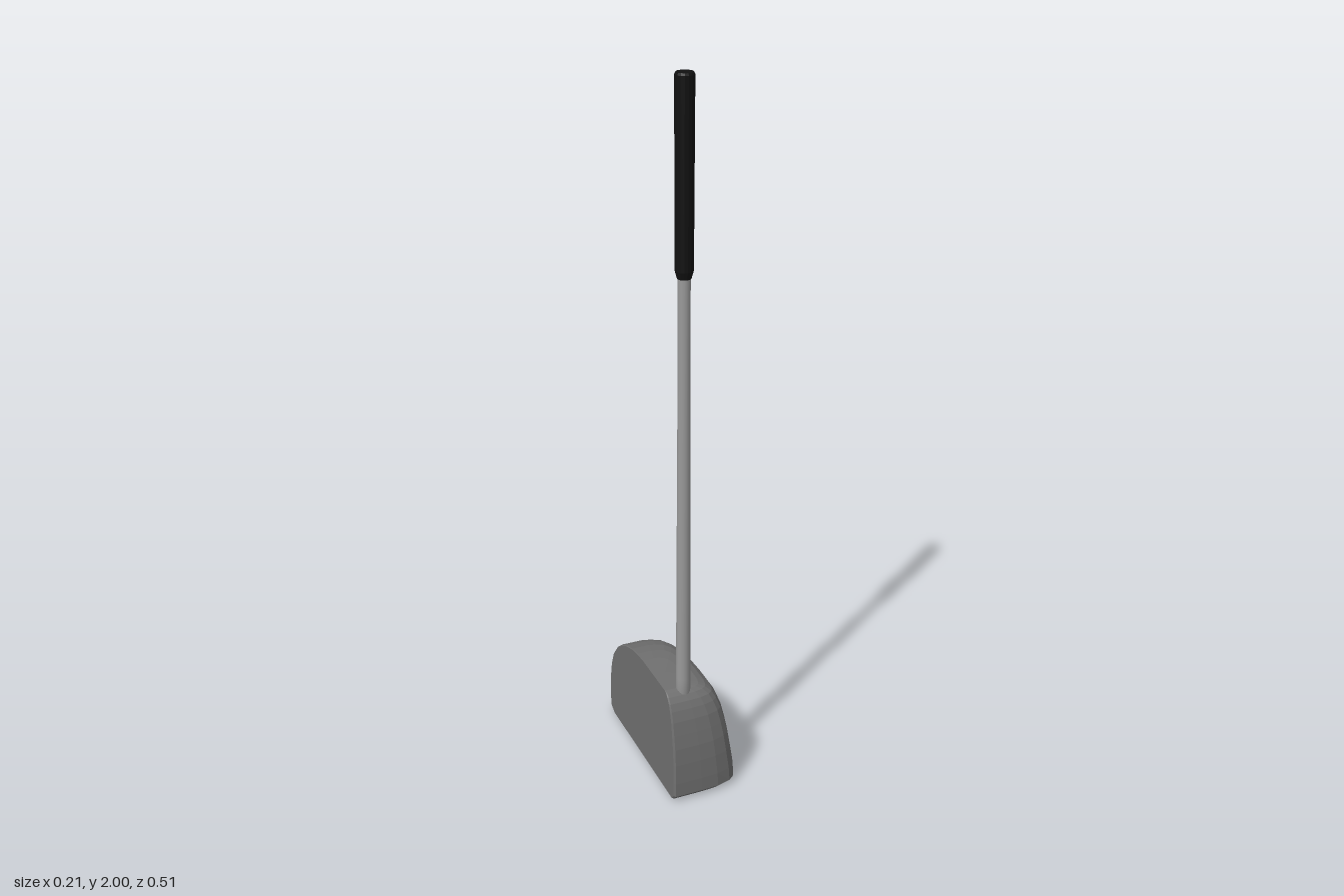
import * as THREE from 'three';

const FACE_X = -0.105; // plane of the flat striking face

// Footprint of the head from the rear of the face round to the front: [x, z]
const FOOTPRINT = [
  [-0.105, -0.247], [-0.1, -0.254], [-0.02, -0.254], [0.015, -0.245], [0.05, -0.225],
  [0.075, -0.185], [0.093, -0.12], [0.102, -0.03], [0.105, 0.06], [0.104, 0.16],
  [0.098, 0.2], [0.088, 0.222], [0.07, 0.237], [0.03, 0.248], [-0.02, 0.251],
  [-0.1, 0.252], [-0.105, 0.246],
];

// Height levels of the head: [y, greatest x, least z, greatest z]
const LEVELS = [
  [0.004, 0.093, -0.225, 0.238], [0.018, 0.104, -0.25, 0.251], [0.06, 0.1, -0.254, 0.252],
  [0.12, 0.09, -0.25, 0.251], [0.17, 0.082, -0.24, 0.247], [0.21, 0.074, -0.223, 0.241],
  [0.25, 0.064, -0.19, 0.234], [0.28, 0.052, -0.152, 0.225], [0.3, 0.04, -0.112, 0.216],
  [0.315, 0.022, -0.067, 0.205], [0.323, 0.002, -0.025, 0.196], [0.327, -0.025, 0.02, 0.184],
];

// Stack scaled footprints into a closed solid
function headGeometry() {
  const pos = [], index = [], n = FOOTPRINT.length;
  for (const [y, xMax, zMin, zMax] of LEVELS) {
    for (const [x, z] of FOOTPRINT) {
      const u = (x - FACE_X) / 0.21;
      const w = (z + 0.254) / 0.506;
      pos.push(FACE_X + u * (xMax - FACE_X), y, zMin + w * (zMax - zMin));
    }
  }
  for (let k = 0; k < LEVELS.length - 1; k++) {
    for (let i = 0; i < n; i++) {
      const a = k * n + i, b = k * n + (i + 1) % n;
      index.push(a, a + n, b + n, a, b + n, b);
    }
  }
  // Sole and crown caps
  const sole = pos.length / 3, crown = sole + 1, last = (LEVELS.length - 1) * n;
  pos.push(-0.03, 0, 0, -0.07, 0.328, 0.1);
  for (let i = 0; i < n; i++) {
    const j = (i + 1) % n;
    index.push(sole, i, j, crown, last + j, last + i);
  }
  const geo = new THREE.BufferGeometry();
  geo.setAttribute('position', new THREE.Float32BufferAttribute(pos, 3));
  geo.setIndex(index);
  geo.computeVertexNormals();
  return geo;
}

// Round part turned from [radius, y] points
function turned(points, segments) {
  return new THREE.LatheGeometry(points.map(([r, y]) => new THREE.Vector2(r, y)), segments);
}

export function createModel() {
  const model = new THREE.Group();
  model.name = 'golfPutter';

  const add = (name, geometry, color, flatShading, x = 0, z = 0) => {
    const mesh = new THREE.Mesh(geometry, new THREE.MeshStandardMaterial({ color, flatShading }));
    mesh.name = name;
    mesh.position.set(x, 0, z);
    model.add(mesh);
  };

  add('head', headGeometry(), 0x707070, true);

  // Shaft tapers slightly towards the grip
  const sx = -0.052, sz = 0.186;
  add('shaft', turned([[0, 0.28], [0.02, 0.28], [0.0195, 0.36], [0.016, 1.25], [0.016, 1.52]], 16),
    0x999999, false, sx, sz);

  // Grip with chamfered ends
  add('grip', turned([[0, 1.5], [0.018, 1.5], [0.0235, 1.52], [0.0245, 1.994], [0.022, 2], [0, 2]], 16),
    0x111111, true, sx, sz);

  return model;
}
